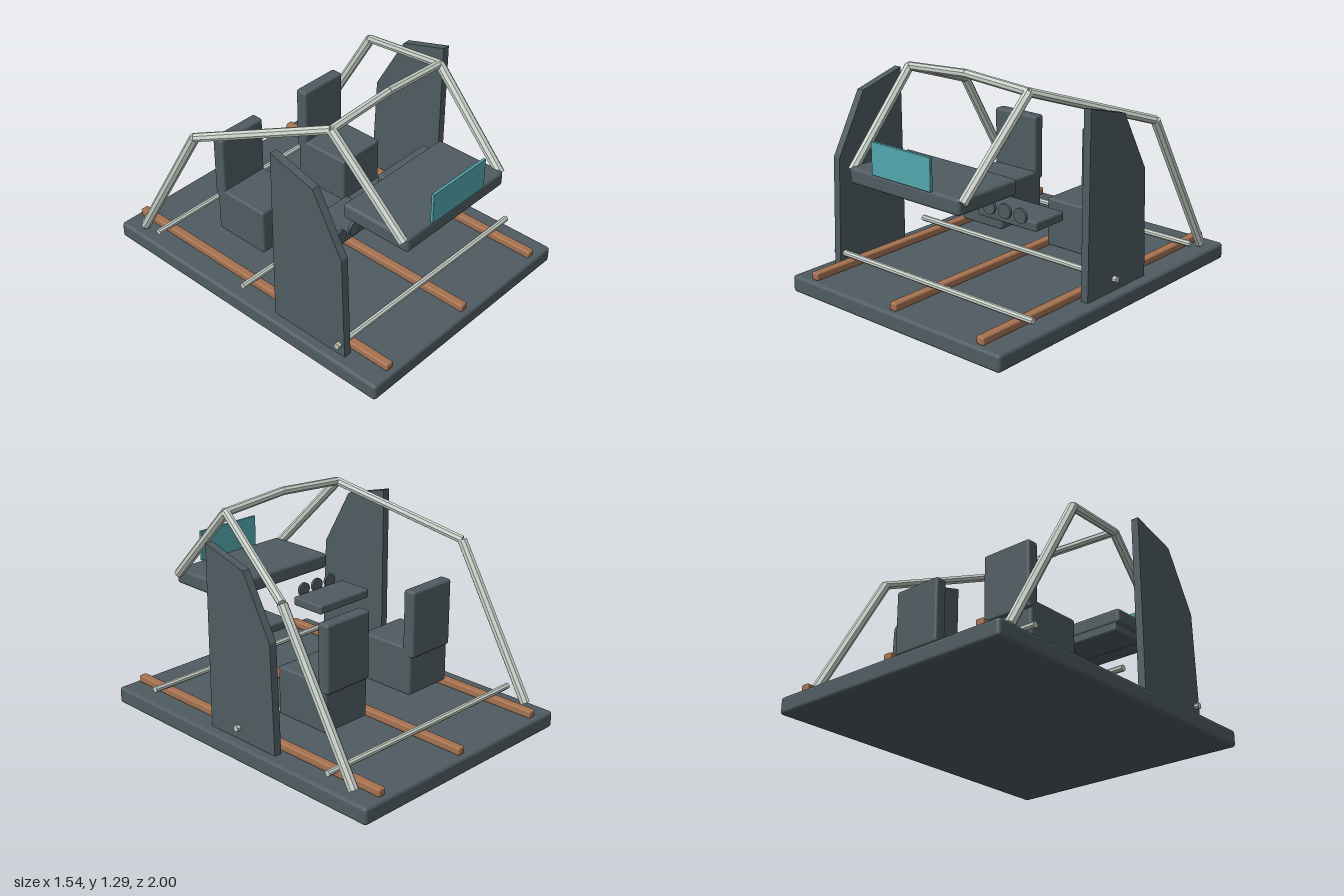
import * as THREE from 'three';
import { RoundedBoxGeometry } from 'three/addons/geometries/RoundedBoxGeometry.js';

const mat = (name, color) => Object.assign(new THREE.MeshStandardMaterial({ color }), { name });

export function createModel() {
  const slate = mat('slate', 0x4f5c62);
  const copper = mat('copper', 0xa67250);
  const steel = mat('pale steel', 0xc8d0c8);
  const teal = mat('teal glass', 0x52a6ae);
  const model = new THREE.Group();
  model.name = 'openCockpit';

  const add = (name, geometry, material) => {
    const mesh = new THREE.Mesh(geometry, material);
    mesh.name = name;
    model.add(mesh);
    return mesh;
  };

  // Rounded box given by its [min, max] extent on each axis
  const box = (name, [x0, x1], [y0, y1], [z0, z1], radius, material) => {
    const g = new RoundedBoxGeometry(x1 - x0, y1 - y0, z1 - z0, 3, radius);
    add(name, g, material).position.set((x0 + x1) / 2, (y0 + y1) / 2, (z0 + z1) / 2);
  };

  // Faceted eight-sided bar between two points
  const bar = (name, from, to, radius, material) => {
    const a = new THREE.Vector3(...from), b = new THREE.Vector3(...to);
    const dir = b.clone().sub(a);
    const g = new THREE.CylinderGeometry(radius, radius, dir.length(), 8)
      .rotateY(Math.PI / 8).toNonIndexed();
    g.computeVertexNormals();
    const mesh = add(name, g, material);
    mesh.position.copy(a).add(b).multiplyScalar(0.5);
    mesh.quaternion.setFromUnitVectors(new THREE.Vector3(0, 1, 0), dir.normalize());
  };

  // Floor with lengthwise rails and cross rods
  box('floor', [-0.77, 0.77], [0, 0.1], [-1, 1], 0.02, slate);
  for (const x of [-0.617, 0, 0.617])
    box('floorRail', [x - 0.025, x + 0.025], [0.1, 0.145], [-0.97, 0.97], 0.01, copper);
  for (const z of [-0.7, 0, 0.7])
    bar('crossRod', [-0.735, 0.17, z], [0.735, 0.17, z], 0.018, steel);

  // Side panel outline, (z offset from the tall edge, height)
  const outline = new THREE.Shape(
    [[0, 0.1], [0.51, 0.1], [0.485, 0.735], [0.29, 1.085], [0, 1.165]]
      .map(([z, y]) => new THREE.Vector2(z, y)));
  for (const s of [-1, 1]) {
    const g = new THREE.ExtrudeGeometry(outline, { depth: 0.046, bevelEnabled: false });
    g.translate(0, 0, -0.023).rotateY(s * Math.PI / 2);
    add(s > 0 ? 'leftPanel' : 'rightPanel', g, slate).position.set(s * 0.687, 0, 0.227);
  }

  // Cage: rear leg, roof rail and front strut per side, plus the bowed top bar
  for (const s of [-1, 1]) {
    const foot = [s * 0.703, 0.123, -0.853], knee = [s * 0.703, 0.983, -0.35];
    const crown = [s * 0.43, 1.237, 0.383], tip = [s * 0.402, 0.755, 0.853];
    bar('rearLeg', foot, knee, 0.029, steel);
    bar('roofRail', knee, crown, 0.025, steel);
    bar('frontStrut', crown, tip, 0.028, steel);
    bar('topBar', crown, [0, 1.265, 0.39], 0.024, steel);
  }

  // Dashboard and display
  box('dashboard', [-0.4, 0.4], [0.69, 0.783], [0.437, 0.878], 0.02, slate);
  box('display', [-0.213, 0.213], [0.78, 0.963], [0.868, 0.886], 0.003, teal);

  // Seats and instrument trays, one pair per side
  for (const s of [-1, 1]) {
    const cx = s * 0.331;
    const seatX = [cx - 0.158, cx + 0.158];
    box('seatCushion', seatX, [0.205, 0.49], [-0.44, -0.08], 0.015, slate);
    box('seatBack', seatX, [0.435, 0.83], [-0.457, -0.382], 0.015, slate);
    box('tray', [cx - 0.204, cx + 0.204], [0.52, 0.575], [0.217, 0.447], 0.012, slate);
    for (const dx of [-0.108, 0, 0.108]) {
      const g = new THREE.CylinderGeometry(0.042, 0.042, 0.016, 24).rotateX(Math.PI / 2);
      add('dial', g, slate).position.set(cx + dx, 0.593, 0.457);
    }
  }
  return model;
}
